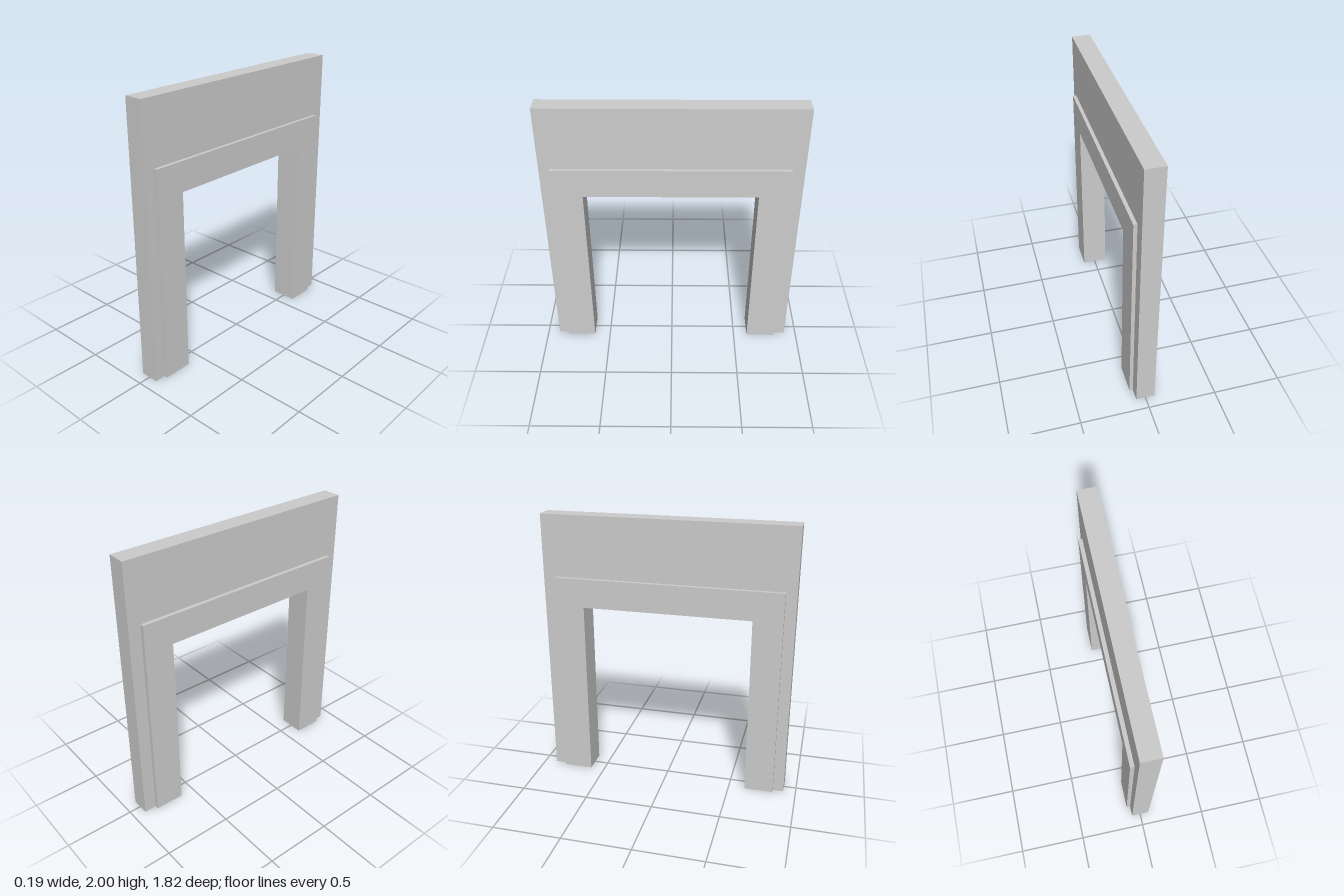
import * as THREE from 'three';

const material = new THREE.MeshStandardMaterial({ color: 0xcccccc, flatShading: true, side: THREE.DoubleSide });

// Doorway-shaped slab in the z-y plane, spanning xMin..xMax, left open at the floor
function arch(name, outer, inner, xMin, xMax) {
  const [o0, o1, oTop] = outer;
  const [i0, i1, iTop] = inner;
  const shape = new THREE.Shape([
    [o0, 0], [i0, 0], [i0, iTop], [i1, iTop], [i1, 0], [o1, 0], [o1, oTop], [o0, oTop],
  ].map(([z, y]) => new THREE.Vector2(z, y)));
  const geometry = new THREE.ExtrudeGeometry(shape, { depth: xMax - xMin, bevelEnabled: false });
  geometry.rotateY(-Math.PI / 2).translate(xMax, 0, 0);

  // Keep every triangle that does not lie on the floor
  const p = geometry.getAttribute('position');
  const kept = [];
  for (let i = 0; i < p.count; i += 3) {
    if (Math.max(p.getY(i), p.getY(i + 1), p.getY(i + 2)) < 1e-4) continue;
    for (let k = i; k < i + 3; k++) kept.push(p.getX(k), p.getY(k), p.getZ(k));
  }
  const open = new THREE.BufferGeometry();
  open.setAttribute('position', new THREE.Float32BufferAttribute(kept, 3));
  open.computeVertexNormals();
  const mesh = new THREE.Mesh(open, material);
  mesh.name = name;
  return mesh;
}

export function createModel() {
  const group = new THREE.Group();
  group.name = 'doorway';

  // Wall panel, its opening hidden inside the frame
  group.add(arch('wall', [-0.91, 0.91, 2], [-0.71, 0.73, 1.44], -0.068, 0.068));

  // Door frame: two jambs and lintel, proud of the wall on both sides
  group.add(arch('doorFrame', [-0.82, 0.832, 1.55], [-0.605, 0.62, 1.338], -0.097, 0.094));

  return group;
}
